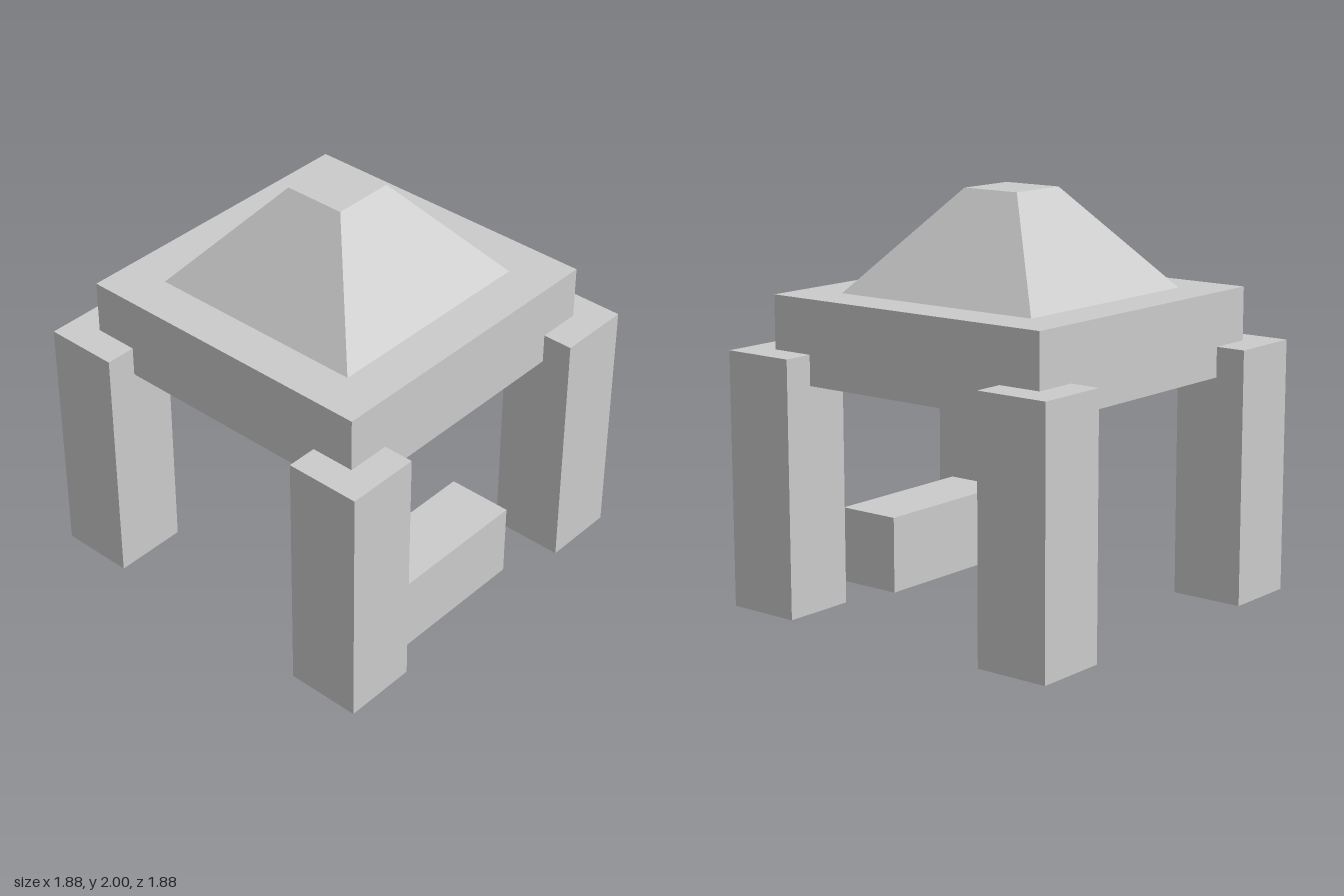
import * as THREE from 'three';

const material = new THREE.MeshStandardMaterial({ color: 0xcccccc, flatShading: true });

// Box resting on height y, centred on x and z
function block(name, w, h, d, x, y, z) {
  const mesh = new THREE.Mesh(new THREE.BoxGeometry(w, h, d), material);
  mesh.name = name;
  mesh.position.set(x, y + h / 2, z);
  return mesh;
}

export function createModel() {
  const group = new THREE.Group();
  group.name = 'pavilion';

  // Four corner pillars
  for (const [sx, side] of [[1, 'Left'], [-1, 'Right']]) {
    for (const [sz, end] of [[1, 'front'], [-1, 'back']]) {
      group.add(block(`${end}${side}Pillar`, 0.374, 1.248, 0.374, sx * 0.755, 0, sz * 0.755));
    }
  }

  // Thick roof slab, overlapping the pillar tops
  group.add(block('roofSlab', 1.58, 0.41, 1.58, 0, 1.1, 0));

  // Truncated pyramid on the slab
  const pyramid = new THREE.CylinderGeometry(0.157 * Math.SQRT2, 0.566 * Math.SQRT2, 0.49, 4)
    .rotateY(Math.PI / 4)
    .toNonIndexed();
  pyramid.computeVertexNormals();
  const roof = new THREE.Mesh(pyramid, material);
  roof.name = 'roofPyramid';
  roof.position.y = 1.51 + 0.245;
  group.add(roof);

  // Low bench between the front pillars, set off-centre
  group.add(block('bench', 0.83, 0.378, 0.33, -0.115, 0, 0.66));

  return group;
}
